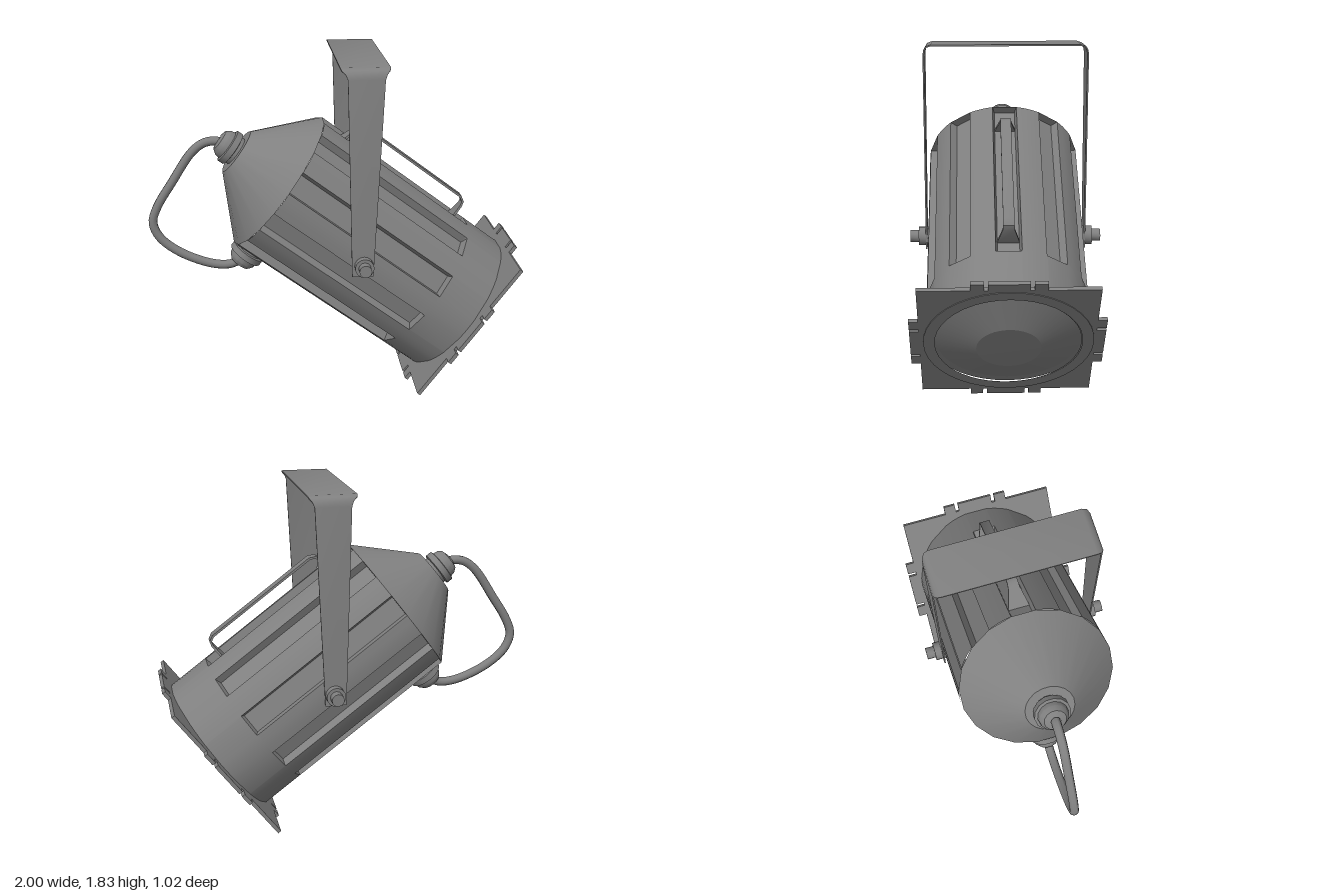
import * as THREE from 'three';
import { toCreasedNormals } from 'three/addons/utils/BufferGeometryUtils.js';

const material = new THREE.MeshStandardMaterial({ color: 0x808080 });
const V = (x, y, z) => new THREE.Vector3(x, y, z);
const rad = THREE.MathUtils.degToRad;
const R = 0.415;

function part(parent, name, geometry, crease = 30) {
  const mesh = new THREE.Mesh(toCreasedNormals(geometry, rad(crease)), material);
  mesh.name = name;
  parent.add(mesh);
  return mesh;
}

// Skin a row of equal-length rings, each counter-clockwise about the direction of travel
function loft(rings, capped) {
  const pos = [];
  const tri = (...pts) => pts.forEach((p) => pos.push(p.x, p.y, p.z));
  const n = rings[0].length;
  for (let i = 0; i < rings.length - 1; i++) {
    for (let j = 0; j < n; j++) {
      const k = (j + 1) % n;
      tri(rings[i][j], rings[i][k], rings[i + 1][k]);
      tri(rings[i][j], rings[i + 1][k], rings[i + 1][j]);
    }
  }
  if (capped) {
    const first = rings[0], last = rings[rings.length - 1];
    for (let j = 1; j < n - 1; j++) {
      tri(first[0], first[j + 1], first[j]);
      tri(last[0], last[j], last[j + 1]);
    }
  }
  const g = new THREE.BufferGeometry();
  g.setAttribute('position', new THREE.Float32BufferAttribute(pos, 3));
  return g;
}

// Bent flat bar: path points are [x, y, zMin, zMax]
function ribbon(path, thickness) {
  const h = thickness / 2;
  return loft(path.map(([x, y, z0, z1], i) => {
    const a = path[Math.max(i - 1, 0)], b = path[Math.min(i + 1, path.length - 1)];
    const len = Math.hypot(b[0] - a[0], b[1] - a[1]);
    const nx = -(b[1] - a[1]) / len * h, ny = (b[0] - a[0]) / len * h;
    return [V(x + nx, y + ny, z0), V(x + nx, y + ny, z1), V(x - nx, y - ny, z1), V(x - nx, y - ny, z0)];
  }), true);
}

// Lathe about the x axis from [radius, x] points, x increasing
function turned(points, segments, phase = 0) {
  return new THREE.LatheGeometry(points.map(([r, x]) => new THREE.Vector2(r, x)), segments, phase).rotateZ(-Math.PI / 2);
}

// Housing cross-section with ten straight-walled grooves of the given depth
function housingRing(x, depth) {
  const ring = [];
  for (let i = 0; i < 10; i++) {
    for (const [deg, d] of [[-9, 0], [-8.5, depth], [8.5, depth], [9, 0], [15, 0], [21, 0]]) {
      const a = rad(i * 36 + deg);
      ring.push(V(x, (R - d) * Math.cos(a), (R - d) * Math.sin(a)));
    }
  }
  return ring;
}

// Square front frame with three tabs on each side and a round opening
function frameGeometry() {
  const half = [[-0.185, 0.44], [-0.185, 0.487], [-0.12, 0.487], [-0.12, 0.44], [-0.1, 0.44], [-0.1, 0.487]];
  const side = [[-0.44, 0.44], ...half, ...half.map(([x, y]) => [-x, y]).reverse()];
  const outline = [];
  for (let k = 0; k < 4; k++) {
    const c = Math.round(Math.cos(k * Math.PI / 2)), s = Math.round(Math.sin(k * Math.PI / 2));
    side.forEach(([x, y]) => outline.push(new THREE.Vector2(x * c + y * s, -x * s + y * c)));
  }
  const shape = new THREE.Shape(outline);
  shape.holes.push(new THREE.Path().absarc(0, 0, 0.37, 0, Math.PI * 2, true));
  return new THREE.ExtrudeGeometry(shape, { depth: 0.02, bevelEnabled: false, curveSegments: 24 })
    .rotateY(Math.PI / 2).translate(-0.02, 0, 0);
}

// Domed cable gland pointing along -x, its base at x = 0
const glandGeometry = () => turned(
  [[0.025, -0.118], [0.058, -0.108], [0.076, -0.085], [0.08, -0.06], [0.095, -0.056], [0.095, -0.022], [0.08, -0.018], [0.08, 0.03]], 14);

export function createModel() {
  const model = new THREE.Group();
  model.name = 'stageLamp';

  // Tilted lamp: local x runs along the optical axis, front frame at x = 0
  const lamp = new THREE.Group();
  lamp.name = 'lamp';
  lamp.position.set(0.704, 0.389, 0);
  lamp.rotation.z = rad(-37);
  model.add(lamp);

  part(lamp, 'groovedHousing', loft([
    housingRing(-1.25, 0.045), housingRing(-0.268, 0.045), housingRing(-0.26, 0), housingRing(-0.015, 0),
  ], false), 20);
  part(lamp, 'rearCone', turned([[0, -1.526], [0.13, -1.526], [R, -1.25], [0, -1.249]], 20, rad(9)));
  part(lamp, 'frontFrame', frameGeometry()).position.z = 0.006;
  part(lamp, 'frontRing', turned([[0.427, -0.005], [0.427, 0.004], [0.37, 0.004]], 40));

  // Lens with a flange that seals the opening, a sloping rim and a flat centre
  part(lamp, 'lens', turned([[0.41, -0.032], [0.37, -0.031], [0.163, 0.035], [0, 0.036]], 40), 12);

  // Carrying handle whose legs flare towards the groove floor
  part(lamp, 'handle', ribbon([
    [-1.115, 0.365, -0.057, 0.057], [-1.08, 0.47, -0.03, 0.03], [-1.07, 0.495, -0.028, 0.028], [-1.04, 0.511, -0.028, 0.028],
    [-0.38, 0.511, -0.028, 0.028], [-0.352, 0.495, -0.028, 0.028], [-0.345, 0.47, -0.03, 0.03], [-0.35, 0.365, -0.057, 0.057],
  ], 0.012), 40);

  // Glands on the rear cap and the underside, joined by the cable
  part(lamp, 'rearGland', glandGeometry()).position.x = -1.526;
  const lowerGland = part(lamp, 'lowerGland', glandGeometry());
  lowerGland.position.set(-1.142, -0.4, 0);
  lowerGland.rotation.z = Math.PI / 2;
  const cablePath = new THREE.CatmullRomCurve3([
    [-0.565, 1.342], [-0.605, 1.366], [-0.68, 1.362], [-0.75, 1.312], [-0.864, 1.144], [-0.95, 1.005],
    [-0.976, 0.92], [-0.944, 0.834], [-0.837, 0.743], [-0.661, 0.67], [-0.56, 0.665], [-0.5, 0.695],
  ].map(([x, y]) => V(x, y, 0)));
  part(model, 'cable', new THREE.TubeGeometry(cablePath, 60, 0.024, 10), 60);

  // Yoke: two tapering legs bent into a wide top bar
  const leg = [
    [-0.424, 0.735, 0.067, 0.178], [-0.424, 1.775, 0.04, 0.227], [-0.42, 1.8, 0.03, 0.237],
    [-0.408, 1.818, 0.01, 0.252], [-0.385, 1.826, 0.005, 0.257],
  ];
  const yokePath = [...leg, ...leg.map(([x, y, a, b]) => [-x, y, a, b]).reverse()];
  part(model, 'yoke', ribbon(yokePath, 0.008).rotateY(Math.PI / 2), 40);

  // Pivot bolts on both sides
  for (const side of [1, -1]) {
    const bolt = new THREE.Group();
    bolt.name = side > 0 ? 'pivotBoltFront' : 'pivotBoltBack';
    bolt.position.set(0.128, 0.795, 0);
    model.add(bolt);
    for (const [name, r, from, to, n] of [['collar', 0.05, 0.41, 0.466, 16], ['stud', 0.033, 0.46, 0.512, 12]]) {
      const g = new THREE.CylinderGeometry(r, r, to - from, n).rotateX(Math.PI / 2);
      part(bolt, name, g, 35).position.z = side * (from + to) / 2;
    }
  }
  return model;
}
